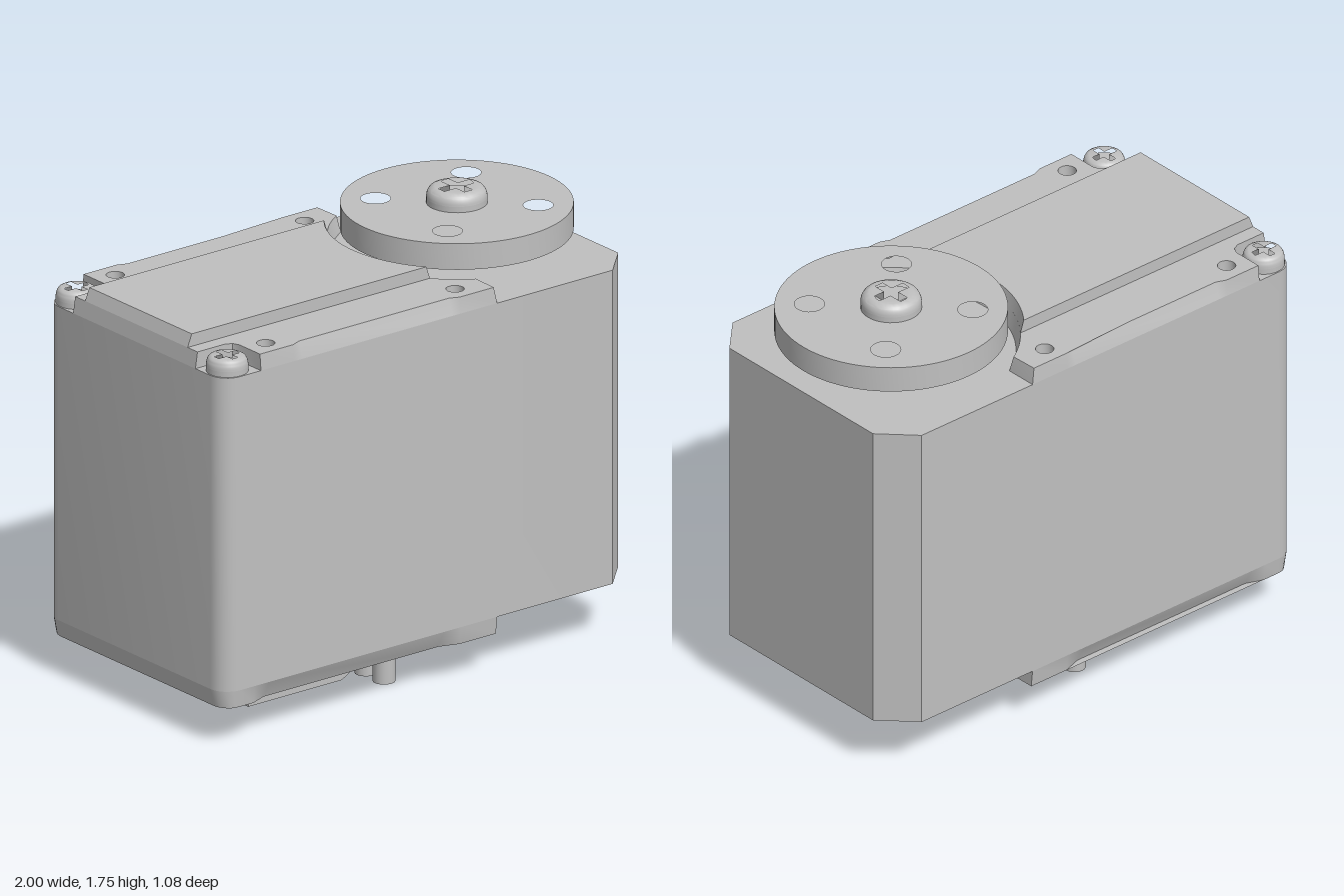
import * as THREE from 'three';
import { toCreasedNormals } from 'three/addons/utils/BufferGeometryUtils.js';

const SHAFT_X = 0.55;

// Full outline from its +z half (points listed as x, z).
function mirrored(half) {
  const back = half.filter(([, z]) => z > 1e-6).map(([x, z]) => [x, -z]).reverse();
  return [...half, ...back];
}

// Points of a circle arc around the output shaft, from half-width z down to the axis.
function shaftArc(radius, zStart, n = 20) {
  const a0 = Math.asin(zStart / radius);
  return Array.from({ length: n + 1 }, (_, i) => {
    const a = a0 * (1 - i / n);
    return [SHAFT_X - radius * Math.cos(a), i === n ? 0 : radius * Math.sin(a)];
  });
}

// Quarter-round corner bulging toward -x, +z.
function roundCorner(cx, cz, r, n = 8) {
  return Array.from({ length: n + 1 }, (_, i) => {
    const a = (i / n) * Math.PI / 2;
    return [cx - r * Math.cos(a), cz + r * Math.sin(a)];
  });
}

function circle(r, n = 40) {
  return Array.from({ length: n }, (_, i) => {
    const a = (i / n) * Math.PI * 2;
    return [r * Math.cos(a), r * Math.sin(a)];
  });
}

// Upright slab from an x/z outline; holes are outlines too. The rule moves vertices (v, t = 0 bottom .. 1 top).
function slab(outline, y0, y1, { holes = [], rule = null, steps = 1 } = {}) {
  const toVec = (pts) => pts.map(([x, z]) => new THREE.Vector2(x, -z));
  const shape = new THREE.Shape(toVec(outline));
  holes.forEach((h) => shape.holes.push(new THREE.Path(toVec(h))));
  const geo = new THREE.ExtrudeGeometry(shape, { depth: y1 - y0, bevelEnabled: false, steps });
  geo.rotateX(-Math.PI / 2).translate(0, y0, 0);
  if (rule) {
    const p = geo.attributes.position;
    const v = new THREE.Vector3();
    for (let i = 0; i < p.count; i++) {
      v.fromBufferAttribute(p, i);
      rule(v, (v.y - y0) / (y1 - y0));
      p.setXYZ(i, v.x, v.y, v.z);
    }
  }
  return toCreasedNormals(geo, 0.55);
}

export function createModel() {
  const model = new THREE.Group();
  model.name = 'servoMotor';
  const grey = new THREE.MeshStandardMaterial({ color: 0xc0c0c0 });
  grey.name = 'plain grey';

  const add = (name, geo, x = 0, y = 0, z = 0, parent = model) => {
    const mesh = new THREE.Mesh(geo, grey);
    mesh.name = name;
    mesh.position.set(x, y, z);
    parent.add(mesh);
    return mesh;
  };
  const holeAt = (x, z, r) => circle(r, 24).map(([a, b]) => [x + a, z + b]);
  const pairOfHoles = (x, r) => [holeAt(x, 0.455, r), holeAt(x, -0.455, r)];

  // Main case: rounded at one end, chamfered at the shaft end
  add('case', slab(mirrored([...roundCorner(-0.92, 0.46, 0.08), [0.87, 0.54], [1, 0.41]]), 0.225, 1.49));

  // Top lid with screw notches and a curved cut around the shaft
  const lidOutline = mirrored([
    [-1, 0.37], [-0.86, 0.37], [-0.832, 0.382], [-0.82, 0.41], [-0.82, 0.54],
    [-0.66, 0.54], [-0.62, 0.54], [0.1, 0.54], [0.14, 0.54], [0.315, 0.54],
    ...shaftArc(0.47, 0.407),
  ]);
  add('topLid', slab(lidOutline, 1.49, 1.555, {
    holes: [...pairOfHoles(-0.73, 0.035), ...pairOfHoles(0.18, 0.035)],
    rule: (v, t) => {
      if (t < 0.5) return;
      if (Math.hypot(v.x - SHAFT_X, v.z) < 0.475) {
        v.x = SHAFT_X + (v.x - SHAFT_X) * 1.036;
        v.z *= 1.036;
      } else if (v.x > 0.3) v.x -= 0.012;
      if (v.x < -0.99) v.x += 0.01;
      if (Math.abs(v.z) > 0.53) v.z -= Math.sign(v.z) * (v.x > -0.63 && v.x < 0.11 ? 0.022 : 0.006);
    },
  }));

  // Raised centre of the lid
  add('raisedLid', slab(mirrored([[-0.99, 0.31], ...shaftArc(0.487, 0.31)]), 1.555, 1.605, {
    rule: (v, t) => {
      if (t < 0.5) return;
      if (v.x < -0.9) v.x += 0.02;
      else v.x = SHAFT_X - Math.sqrt(0.25 - v.z * v.z);
    },
  }));

  // Bottom lid, open around the pins, with edges bevelled between the corners
  const baseOutline = mirrored([
    ...roundCorner(-0.92, 0.46, 0.08), [-0.85, 0.54], [-0.78, 0.54], [0.06, 0.54], [0.14, 0.54],
    [0.315, 0.54], [0.315, 0.42], [0.26, 0.36], [0.14, 0.28], [0, 0.28], [0, 0.4], [-0.17, 0.4],
  ]);
  add('bottomLid', slab(baseOutline, 0.155, 0.225, {
    holes: [...pairOfHoles(-0.915, 0.036), ...pairOfHoles(0.18, 0.036)],
    rule: (v, t) => {
      if (t > 0.5) return;
      if (v.x < -0.96) v.x += 0.014;
      if (Math.abs(v.z) > 0.53) v.z -= Math.sign(v.z) * (v.x > -0.79 && v.x < 0.07 ? 0.035 : 0.008);
    },
  }));

  // Sloped block under the case
  const wedge = new THREE.Shape([[-0.77, 0.08], [-0.32, 0.08], [-0.19, 0.155], [-0.19, 0.17], [-0.77, 0.17]]
    .map(([x, y]) => new THREE.Vector2(x, y)));
  add('bottomBlock', new THREE.ExtrudeGeometry(wedge, { depth: 0.8, bevelEnabled: false }), 0, 0, -0.4);

  // Connector pins
  for (const side of [1, -1]) {
    for (const z of [0.125, 0.23, 0.34]) {
      add('pin', new THREE.CylinderGeometry(0.043, 0.043, 0.225, 24), -0.07, 0.1125, side * z);
    }
  }

  // Hollow pivot boss opposite the output shaft
  add('pivotBoss', slab(circle(0.13, 48), 0.05, 0.225, { holes: [circle(0.05, 32)] }), SHAFT_X - 0.005);

  // Output shaft, hub and round horn
  add('outputShaft', new THREE.CylinderGeometry(0.105, 0.105, 0.02, 48), SHAFT_X, 1.498, 0);
  add('hornHub', new THREE.CylinderGeometry(0.195, 0.195, 0.07, 64), SHAFT_X, 1.54, 0);
  const hornHoles = [];
  for (const sx of [1, -1]) for (const sz of [1, -1]) hornHoles.push(holeAt(sx * 0.218, sz * 0.218, 0.057));
  add('hornDisc', slab(circle(0.44, 96), 1.575, 1.68, { holes: hornHoles }), SHAFT_X);

  // Round-headed screws with a cross recess
  function screw(name, r, height, x, y, z) {
    const g = new THREE.Group();
    g.name = name;
    g.position.set(x, y, z);
    model.add(g);
    const floor = height * 0.35;
    const a = r * 0.64, b = r * 0.16;
    const cross = [[a, b], [b, b], [b, a], [-b, a], [-b, b], [-a, b], [-a, -b], [-b, -b], [-b, -a], [b, -a], [b, -b], [a, -b]];
    add('screwBase', new THREE.CylinderGeometry(r, r, floor, 40), 0, floor / 2, 0, g);
    add('screwHead', slab(circle(r), floor, height, {
      holes: [cross],
      steps: 6,
      rule: (v, t) => {
        if (Math.hypot(v.x, v.z) < r * 0.9) return;
        const s = 1 - 0.26 * (1 - Math.sqrt(1 - t * t));
        v.x *= s;
        v.z *= s;
      },
    }), 0, 0, 0, g);
  }
  screw('hornScrew', 0.116, 0.065, SHAFT_X, 1.68, 0);
  for (const side of [1, -1]) screw('lidScrew', 0.08, 0.062, -0.915, 1.49, side * 0.455);

  return model;
}
